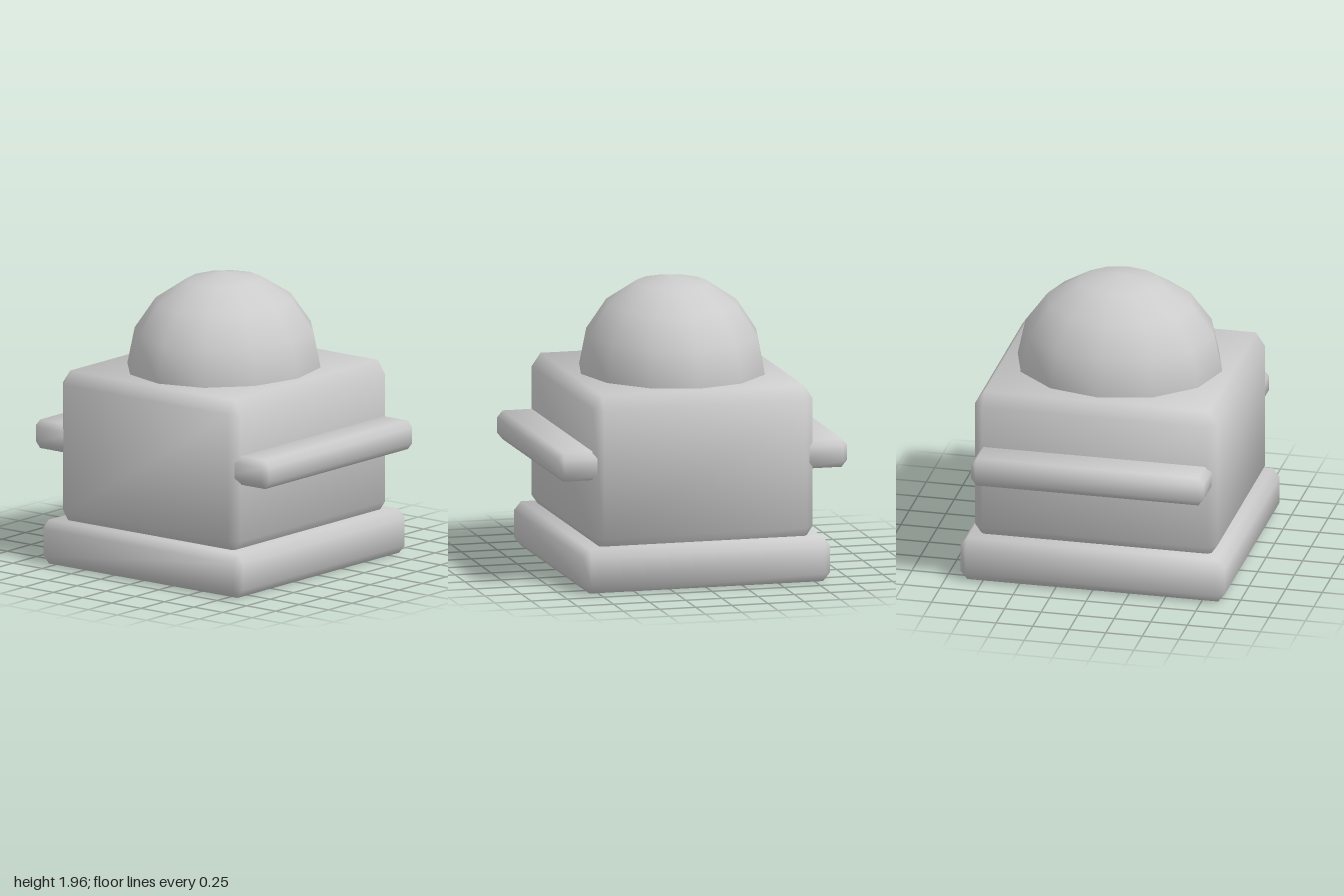
import * as THREE from 'three';
import { ConvexGeometry } from 'three/addons/geometries/ConvexGeometry.js';

// Box with every edge and corner cut, shaded smoothly across the cuts
function chamferedBox(size, cut) {
  const half = size.map((s) => s / 2);
  const points = [];
  for (let axis = 0; axis < 3; axis++)
    for (const sx of [-1, 1]) for (const sy of [-1, 1]) for (const sz of [-1, 1]) {
      const p = [sx, sy, sz].map((s, i) => s * (half[i] - (i === axis ? 0 : cut[i])));
      points.push(new THREE.Vector3(...p));
    }
  const geometry = new ConvexGeometry(points);
  const { position, normal } = geometry.attributes;
  // Each corner leans mostly toward the face it belongs to
  for (let i = 0; i < position.count; i++) {
    const p = [position.getX(i), position.getY(i), position.getZ(i)];
    const n = p.map((v, k) => Math.sign(v) * (Math.abs(v) > half[k] - 1e-4 ? 2.95 : 1.25));
    normal.setXYZ(i, ...new THREE.Vector3(...n).normalize().toArray());
  }
  return geometry;
}

export function createModel() {
  const group = new THREE.Group();
  const grey = new THREE.MeshStandardMaterial({ color: 0xcccccc });
  grey.name = 'plain grey';

  const add = (name, geometry, y, z = 0) => {
    const mesh = new THREE.Mesh(geometry, grey);
    mesh.name = name;
    mesh.position.set(0, y, z);
    group.add(mesh);
  };

  // Foot slab and main block
  add('base', chamferedBox([1.81, 0.3, 1.71], [0.047, 0.057, 0.047]), 0.15);
  add('body', chamferedBox([1.66, 1.05, 1.52], [0.062, 0.09, 0.062]), 0.795);

  // Bars across the front and back, sunk into the body
  for (const side of [1, -1])
    add(side > 0 ? 'frontBar' : 'backBar',
      chamferedBox([1.59, 0.195, 0.4], [0.037, 0.045, 0.037]), 0.847, side * 0.8);

  // Oval dome, twelve sides around
  const dome = new THREE.SphereGeometry(1, 12, 4, 0, Math.PI * 2, 0, Math.PI / 2);
  dome.scale(0.7, 0.64, 0.63);
  add('dome', dome, 1.32);

  return group;
}
